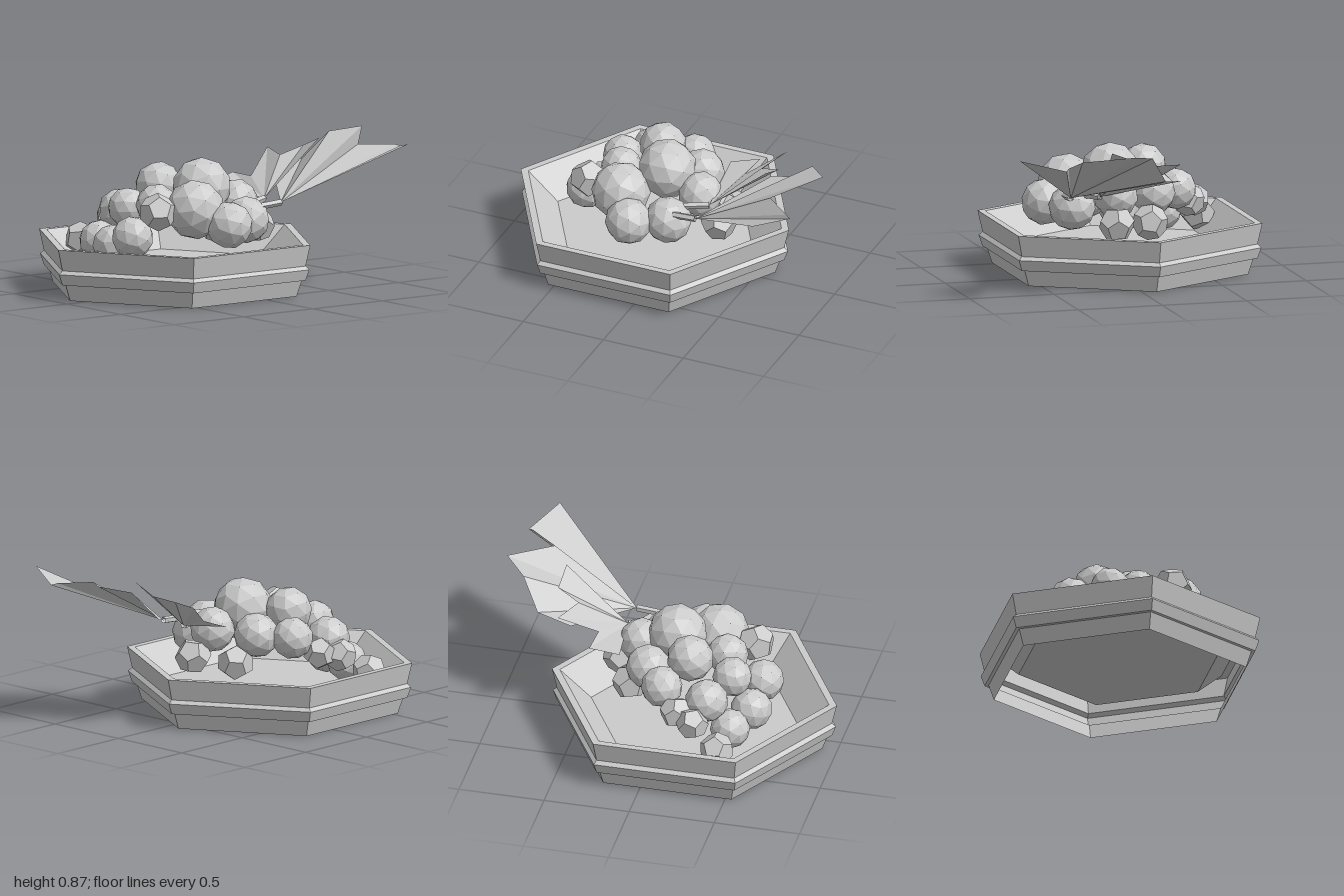
import * as THREE from 'three';

const grey = new THREE.MeshStandardMaterial({ color: 0xcccccc, flatShading: true });
const greyThin = new THREE.MeshStandardMaterial({ color: 0xcccccc, flatShading: true, side: THREE.DoubleSide });

function add(parent, name, geometry, material = grey) {
  const mesh = new THREE.Mesh(geometry, material);
  mesh.name = name;
  parent.add(mesh);
  return mesh;
}

// Folded leaf: a fan of triangles from the stem to the rim points
function leafGeometry(base, rim) {
  const positions = [];
  for (let i = 0; i < rim.length - 1; i++) positions.push(...base, ...rim[i], ...rim[i + 1]);
  const geometry = new THREE.BufferGeometry();
  geometry.setAttribute('position', new THREE.Float32BufferAttribute(positions, 3));
  geometry.computeVertexNormals();
  return geometry;
}

function stem(parent, from, to) {
  const path = new THREE.LineCurve3(new THREE.Vector3(...from), new THREE.Vector3(...to));
  add(parent, 'stem', new THREE.TubeGeometry(path, 1, 0.02, 5), greyThin);
}

export function createModel() {
  const model = new THREE.Group();
  model.name = 'fruitTray';

  // Hexagonal tray, open underneath: [distance to flat side, height]
  const profile = [
    [0.652, 0], [0.68, 0.095], [0.70, 0.095], [0.72, 0.158], [0.70, 0.178],
    [0.725, 0.3], [0.685, 0.3], [0.525, 0.14], [0, 0.14],
  ].map(([d, y]) => new THREE.Vector2(d / Math.cos(Math.PI / 6), y));
  const tray = add(model, 'tray', new THREE.LatheGeometry(profile, 6), greyThin);
  tray.position.set(-0.085, 0, 0.16);

  // Bunch of berries: [x, y, z, radius]
  const bunch = new THREE.Group();
  bunch.name = 'berries';
  model.add(bunch);
  const berries = [
    [0.01, 0.59, 0.04, 0.17], [0.21, 0.50, 0.24, 0.17], [0.27, 0.42, -0.08, 0.135],
    [0.375, 0.42, 0.12, 0.135], [0.04, 0.49, -0.18, 0.13], [-0.21, 0.48, -0.08, 0.13],
    [-0.225, 0.585, 0.17, 0.135], [-0.02, 0.51, 0.34, 0.12], [-0.405, 0.43, 0.31, 0.125],
    [-0.2, 0.48, 0.41, 0.115], [-0.38, 0.47, 0.04, 0.12], [0.155, 0.5, 0.465, 0.11],
    [0.015, 0.345, 0.54, 0.12], [-0.19, 0.275, 0.52, 0.12], [-0.415, 0.27, 0.45, 0.115],
    [-0.62, 0.25, 0.42, 0.1], [-0.55, 0.36, 0.26, 0.095], [-0.49, 0.38, 0.15, 0.095],
    [0.07, 0.35, -0.31, 0.105], [-0.16, 0.33, -0.2, 0.105],
  ];
  berries.forEach(([x, y, z, r], i) => {
    const shape = r < 0.112 ? new THREE.DodecahedronGeometry(r) : new THREE.IcosahedronGeometry(r, 1);
    const berry = add(bunch, 'berry', shape);
    berry.position.set(x, y, z);
    berry.rotation.set(i * 0.7, i * 1.3, i * 0.4);
  });

  // Large leaf
  const largeBase = [0.335, 0.51, -0.28];
  add(model, 'largeLeaf', leafGeometry(largeBase, [
    [-0.11, 0.62, -0.56], [-0.09, 0.67, -0.76], [0.02, 0.83, -0.87], [0.16, 0.865, -1],
    [0.41, 0.81, -0.78], [0.54, 0.81, -0.94], [0.56, 0.80, -0.97], [0.8, 0.85, -0.845],
  ]), greyThin);
  stem(model, [0.33, 0.5, -0.14], largeBase);

  // Small leaf
  const smallBase = [0.165, 0.51, -0.29];
  add(model, 'smallLeaf', leafGeometry(smallBase, [
    [-0.25, 0.56, -0.24], [-0.285, 0.6, -0.41], [-0.1, 0.6, -0.4], [-0.22, 0.735, -0.61],
    [-0.01, 0.72, -0.54], [0.04, 0.77, -0.67], [0.2, 0.83, -0.66],
  ]), greyThin);
  stem(model, [0.22, 0.5, -0.15], smallBase);

  return model;
}
